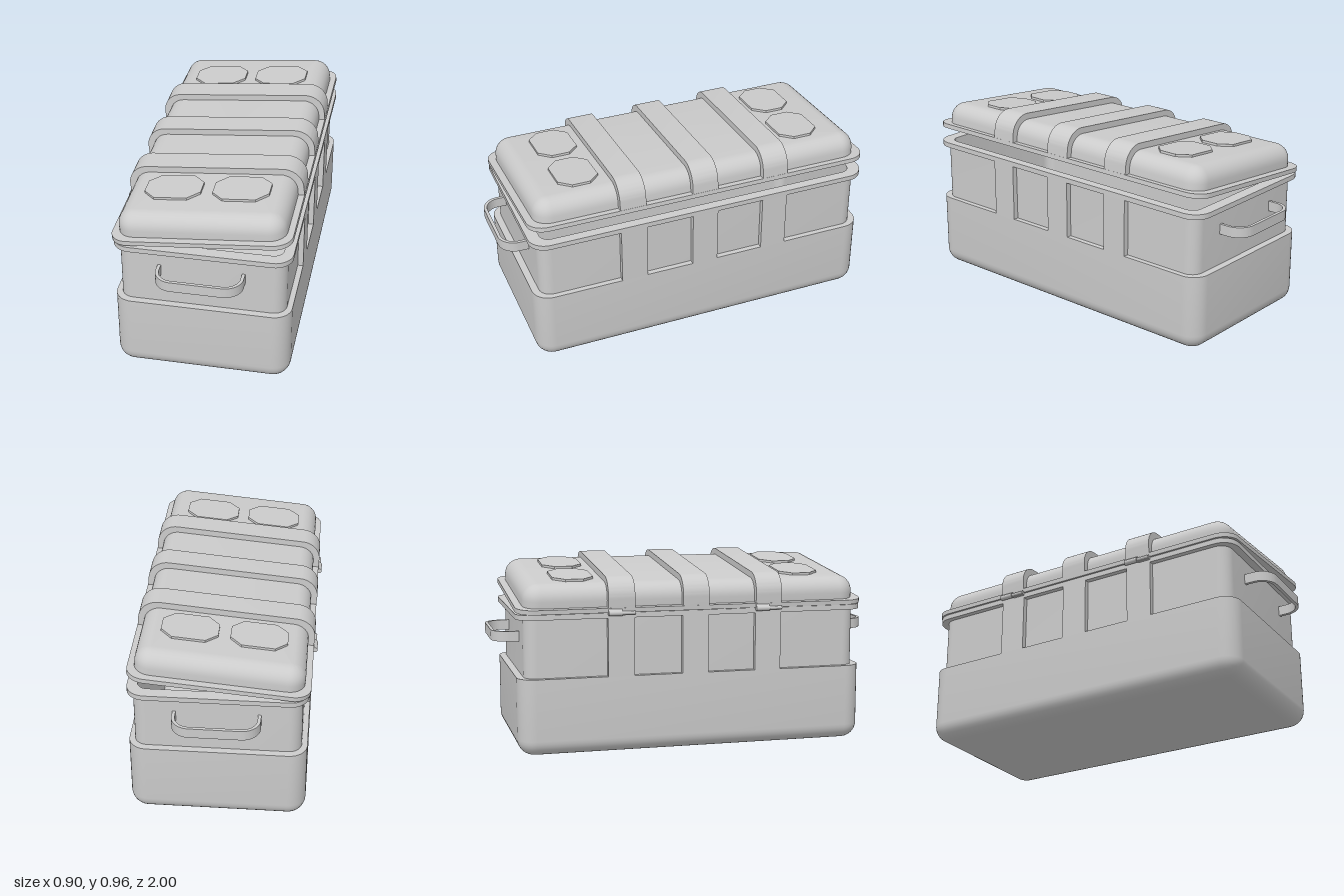
import * as THREE from 'three';
import { toCreasedNormals } from 'three/addons/utils/BufferGeometryUtils.js';

const material = new THREE.MeshStandardMaterial({ color: 0xcccccc });
const STRAPS = [-0.383, 0, 0.383];
const WIDTH = 0.136;

function add(parent, name, geometry, x = 0, y = 0, z = 0) {
  const mesh = new THREE.Mesh(geometry, material);
  mesh.name = name;
  mesh.position.set(x, y, z);
  parent.add(mesh);
  return mesh;
}

// Skin through rounded rectangles, each given as [y, halfX, halfZ, cornerRadius]
function loft(rings) {
  const seg = 8, n = 4 * (seg + 1), pos = [], index = [];
  for (const [y, hx, hz, r] of rings) {
    for (let c = 0; c < 4; c++) {
      const sx = c === 0 || c === 3 ? 1 : -1, sz = c < 2 ? 1 : -1;
      for (let i = 0; i <= seg; i++) {
        const a = (c + i / seg) * Math.PI / 2;
        pos.push(sx * (hx - r) + r * Math.cos(a), y, sz * (hz - r) + r * Math.sin(a));
      }
    }
  }
  for (let k = 0; k < rings.length - 1; k++) {
    for (let i = 0; i < n; i++) {
      const a = k * n + i, b = k * n + (i + 1) % n;
      index.push(a, a + n, b, b, a + n, b + n);
    }
  }
  const g = new THREE.BufferGeometry();
  g.setAttribute('position', new THREE.Float32BufferAttribute(pos, 3));
  g.setIndex(index);
  return toCreasedNormals(g, 0.6);
}

// Rings of a rounded edge; dir = 1 curves up to a flat top, -1 down to a flat base
function fillet(y, hx, hz, corner, r, dir) {
  const rings = [];
  for (let i = 0; i <= 8; i++) {
    const a = i / 8 * Math.PI / 2, d = r * (1 - Math.cos(a));
    rings.push([y + dir * r * (Math.sin(a) - 1), hx - d, hz - d, corner - d]);
  }
  return rings;
}

// Open band: an arch of width 2*hx and height h with rounded shoulders
function arch(hx, h, r, t, depth) {
  const s = new THREE.Shape();
  const ix = hx - t, ih = h - t, ir = r - t;
  s.moveTo(hx, 0);
  s.lineTo(hx, h - r);
  s.absarc(hx - r, h - r, r, 0, Math.PI / 2, false);
  s.absarc(-hx + r, h - r, r, Math.PI / 2, Math.PI, false);
  s.lineTo(-hx, 0);
  s.lineTo(-ix, 0);
  s.lineTo(-ix, ih - ir);
  s.absarc(-ix + ir, ih - ir, ir, Math.PI, Math.PI / 2, true);
  s.absarc(ix - ir, ih - ir, ir, Math.PI / 2, 0, true);
  s.lineTo(ix, 0);
  const g = new THREE.ExtrudeGeometry(s, { depth, bevelEnabled: false, curveSegments: 10 });
  return toCreasedNormals(g.translate(0, 0, -depth / 2), 0.6);
}

function buildBody() {
  const body = new THREE.Group();
  body.name = 'body';
  body.position.x = 0.0125;
  // Hollow tub: wide base, recessed upper wall, rim flange, inner wall and floor
  add(body, 'tub', loft([
    [0, 0, 0, 0],
    ...fillet(0, 0.4375, 0.902, 0.09, 0.08, -1).reverse(),
    [0.395, 0.4375, 0.902, 0.09],
    [0.395, 0.41, 0.866, 0.065],
    [0.69, 0.41, 0.866, 0.065],
    [0.69, 0.4375, 0.904, 0.09],
    [0.716, 0.4375, 0.904, 0.09],
    [0.716, 0.388, 0.843, 0.05],
    [0.04, 0.388, 0.843, 0.05],
    [0.04, 0, 0, 0],
  ]));
  // Side ribs between the recessed panels
  for (const side of [-1, 1]) {
    for (const z of STRAPS) {
      add(body, 'sideRib', new THREE.BoxGeometry(0.0375, 0.297, WIDTH), side * 0.41875, 0.5425, z);
    }
    // Carrying handle on each end
    const handle = add(body, 'handle', arch(0.214, 0.14, 0.09, 0.016, 0.052), 0, 0.582, side * 0.86);
    handle.rotation.x = side * Math.PI / 2;
  }
  return body;
}

function buildLid() {
  // Group origin is at the hinge edge, so the lid swings open from there
  const lid = new THREE.Group();
  lid.name = 'lid';
  lid.position.set(-0.432, 0.718, 0);
  lid.rotation.z = 0.0907;
  const cx = 0.4415;
  // Hollow dome with a flange
  add(lid, 'lidShell', loft([
    [0.115, 0, 0, 0],
    ...fillet(0.115, 0.388, 0.843, 0.07, 0.06, 1).reverse(),
    [0, 0.388, 0.843, 0.07],
    [0, 0.4415, 0.904, 0.09],
    [0.023, 0.4415, 0.904, 0.09],
    [0.023, 0.41, 0.866, 0.085],
    ...fillet(0.135, 0.41, 0.866, 0.085, 0.08, 1),
    [0.135, 0, 0, 0],
  ]), cx);
  // Straps over the dome
  for (const z of STRAPS) add(lid, 'strap', arch(0.4405, 0.166, 0.1, 0.038, WIDTH), cx, 0.001, z);
  // Eight-sided pads
  const w = 0.139, h = 0.104, c = 0.058;
  const octagon = new THREE.Shape([
    [w, -h + c], [w, h - c], [w - c, h], [-w + c, h],
    [-w, h - c], [-w, -h + c], [-w + c, -h], [w - c, -h],
  ].map(([x, y]) => new THREE.Vector2(x, y)));
  const pad = new THREE.ExtrudeGeometry(octagon, { depth: 0.022, bevelEnabled: false }).rotateX(-Math.PI / 2);
  for (const sx of [-1, 1]) {
    for (const sz of [-1, 1]) add(lid, 'pad', pad, cx + sx * 0.168, 0.125, sz * 0.598);
  }
  return lid;
}

// Hinge: pin, knuckle and a leaf on the lid edge
function buildHinge(z) {
  const hinge = new THREE.Group();
  hinge.name = 'hinge';
  hinge.position.set(-0.438, 0.716, z);
  const rod = (r, l) => new THREE.CylinderGeometry(r, r, l, 16).rotateX(Math.PI / 2);
  add(hinge, 'hingePin', rod(0.009, WIDTH));
  add(hinge, 'hingeKnuckle', rod(0.014, 0.07), 0, 0, -0.033);
  const leaf = new THREE.Shape([[-0.012, 0.006], [0.012, -0.006], [0.022, 0.006], [0.02, 0.026], [0.012, 0.027]]
    .map(([x, y]) => new THREE.Vector2(x, y)));
  add(hinge, 'lidLeaf', new THREE.ExtrudeGeometry(leaf, { depth: 0.07, bevelEnabled: false }), 0, 0, -0.068);
  add(hinge, 'bodyLeaf', new THREE.BoxGeometry(0.02, 0.016, 0.066), 0.01, -0.004, 0.035);
  return hinge;
}

export function createModel() {
  const model = new THREE.Group();
  model.name = 'storageCase';
  model.add(buildBody(), buildLid(), buildHinge(STRAPS[0]), buildHinge(STRAPS[2]));
  return model;
}
